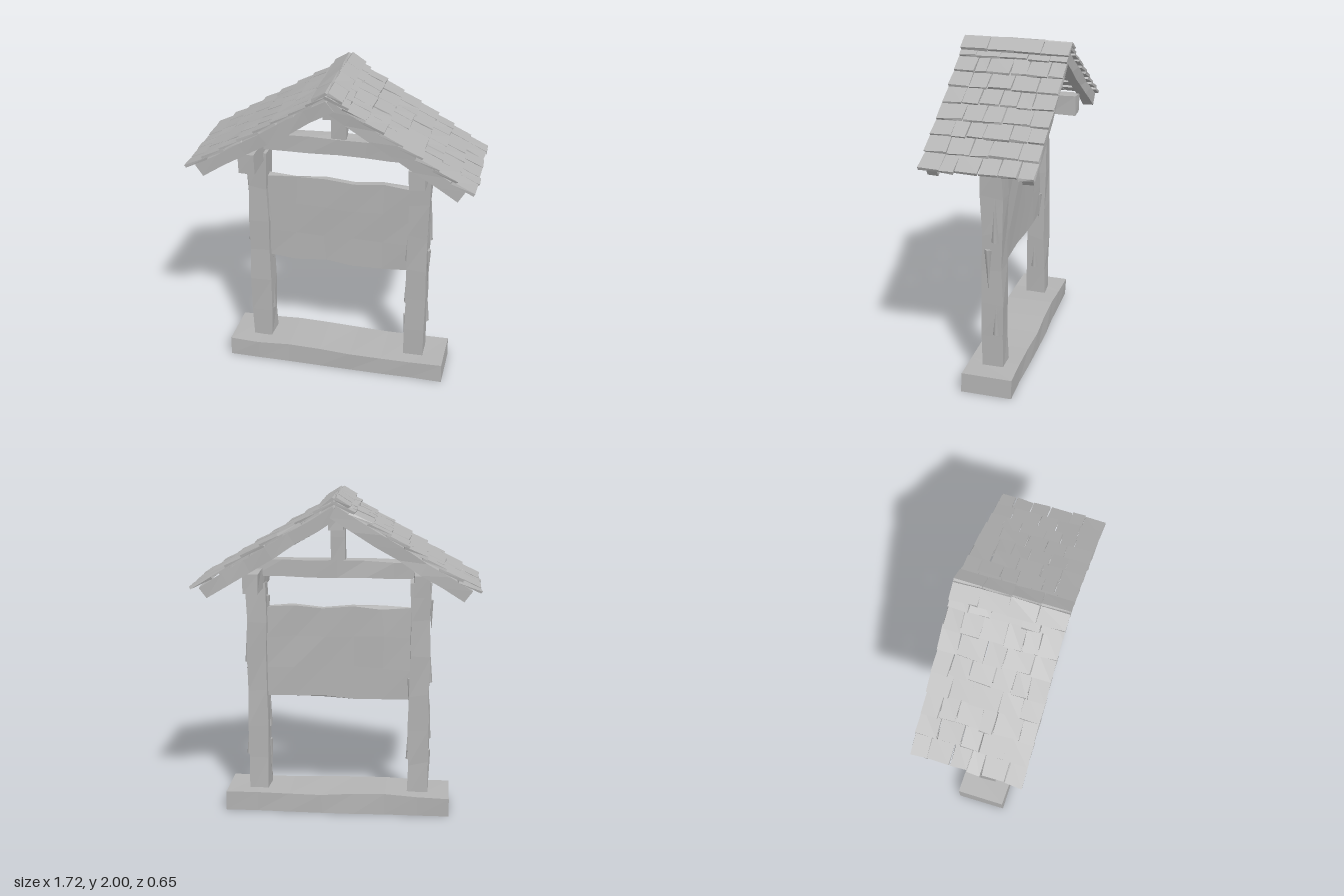
import * as THREE from 'three';
import { mergeGeometries } from 'three/addons/utils/BufferGeometryUtils.js';

// Small seeded random generator, returns -1..1
let seed = 7;
const rnd = () => {
  seed = (seed * 16807) % 2147483647;
  return (seed / 2147483647) * 2 - 1;
};

const PITCH = Math.atan(0.61);   // roof slope
const ROOF_Y = 1.94;             // apex of the rafters' upper face

// Rough-hewn box: shared corners are moved together, then faceted
function hewnBox(w, h, d, segs, jitter, warp) {
  const g = new THREE.BoxGeometry(w, h, d, ...segs);
  const p = g.attributes.position;
  const moved = new Map();
  for (let i = 0; i < p.count; i++) {
    const v = [p.getX(i), p.getY(i), p.getZ(i)];
    const key = v.map(n => Math.round(n * 1000)).join();
    if (!moved.has(key)) {
      const q = v.map((n, k) => n + rnd() * jitter[k]);
      if (warp) warp(q, v);
      moved.set(key, q);
    }
    p.setXYZ(i, ...moved.get(key));
  }
  const flat = g.toNonIndexed();
  flat.computeVertexNormals();
  return flat;
}

export function createModel() {
  seed = 7;
  const model = new THREE.Group();
  model.name = 'noticeBoard';
  const wood = new THREE.MeshStandardMaterial({ color: 0xb4b4b4 });
  wood.name = 'plain grey';

  const add = (name, geometry, x = 0, y = 0, z = 0, parent = model) => {
    const mesh = new THREE.Mesh(geometry, wood);
    mesh.name = name;
    mesh.position.set(x, y, z);
    parent.add(mesh);
    return mesh;
  };

  // Base plank with a slightly bowed top and a flat underside
  add('base', hewnBox(1.4, 0.12, 0.31, [7, 1, 1], [0.006, 0.004, 0.006], (q, v) => {
    if (v[1] < 0) q[1] = -0.06;
    else q[1] += 0.016 * Math.exp(-(((v[0] + 0.2) / 0.2) ** 2));
  }), 0, 0.06, 0);

  // Posts, with splinters along the sides
  for (const s of [-1, 1]) {
    const post = new THREE.Group();
    post.name = s > 0 ? 'leftPost' : 'rightPost';
    post.position.set(s * 0.5, 0, 0);
    model.add(post);
    add('postTimber', hewnBox(0.125, 1.36, 0.125, [1, 6, 1], [0.007, 0.02, 0.006],
      q => { q[0] *= 1 - q[1] * 0.05; }), 0, 0.76, 0, post);
    for (let i = 0; i < 7; i++) {
      const side = i % 2 ? 1 : -1;
      const splinter = add('splinter', new THREE.ConeGeometry(0.022, 0.24 + 0.06 * rnd(), 4),
        side * 0.064, 0.28 + i * 0.16, 0.05 * rnd(), post);
      splinter.scale.x = 0.6;
      splinter.rotation.set(i % 3 ? 0 : Math.PI, 0, 0.04 * rnd());
    }
  }

  // Notice panel between the posts, with ragged upper and lower edges
  add('panel', hewnBox(0.9, 0.57, 0.045, [5, 3, 1], [0.012, 0.012, 0.004]), 0, 1.005, 0);

  // Tie beam and king post
  add('tieBeam', hewnBox(1.0, 0.1, 0.1, [6, 1, 1], [0.008, 0.008, 0.006]), 0, 1.53, 0);
  add('kingPost', hewnBox(0.09, 0.3, 0.09, [1, 2, 1], [0.005, 0.005, 0.005]), 0, 1.72, 0);

  // Purlins running front to back, carrying the rafters
  for (const x of [-0.505, 0.505])
    add('purlin', hewnBox(0.095, 0.12, 0.5, [1, 1, 3], [0.005, 0.005, 0.006]), x, 1.465, 0);
  add('ridgePurlin', hewnBox(0.09, 0.09, 0.5, [1, 1, 3], [0.005, 0.005, 0.006]), 0, 1.84, 0);

  // Each roof half: local x runs down the slope, local y points out of it
  for (const s of [1, -1]) {
    const half = new THREE.Group();
    half.name = s > 0 ? 'leftRoof' : 'rightRoof';
    half.rotation.y = s > 0 ? 0 : Math.PI;
    model.add(half);
    const slope = new THREE.Group();
    slope.name = 'slope';
    slope.position.y = ROOF_Y;
    slope.rotation.z = -PITCH;
    half.add(slope);

    for (const z of [-0.27, 0.27])
      add('rafter', hewnBox(0.92, 0.078, 0.065, [6, 1, 1], [0.006, 0.005, 0.004]),
        0.47, -0.039, z, slope);

    // Eight overlapping courses of uneven shingles
    const shingles = [];
    const step = 0.122;
    for (let row = 0; row < 8; row++) {
      const count = 5 + (row % 2);
      const cuts = [-0.325];
      for (let k = 1; k < count; k++)
        cuts.push(-0.325 + 0.65 * (k + 0.2 * rnd()) / count);
      cuts.push(0.325);
      for (let k = 0; k < count; k++) {
        const width = cuts[k + 1] - cuts[k] - 0.005;
        const g = hewnBox(0.148, 0.017, width, [1, 1, 1], [0.005, 0.002, 0.004]);
        g.rotateX(0.02 * rnd());
        g.rotateY(0.03 * rnd());
        g.rotateZ(0.11 + 0.02 * rnd());
        g.translate((row + 1) * step - 0.074 + 0.006 * rnd(), 0.018, (cuts[k] + cuts[k + 1]) / 2);
        shingles.push(g);
      }
    }
    add('shingles', mergeGeometries(shingles), 0, 0, 0, slope);

    // Ridge caps folded over the apex
    const caps = [];
    for (let k = 0; k < 4; k++) {
      const g = hewnBox(0.1, 0.018, 0.16, [1, 1, 1], [0.006, 0.003, 0.004]);
      g.rotateY(0.04 * rnd());
      g.translate(0.03, 0.039, -0.243 + k * 0.162);
      caps.push(g);
    }
    add('ridgeCaps', mergeGeometries(caps), 0, 0, 0, slope);
  }
  return model;
}
